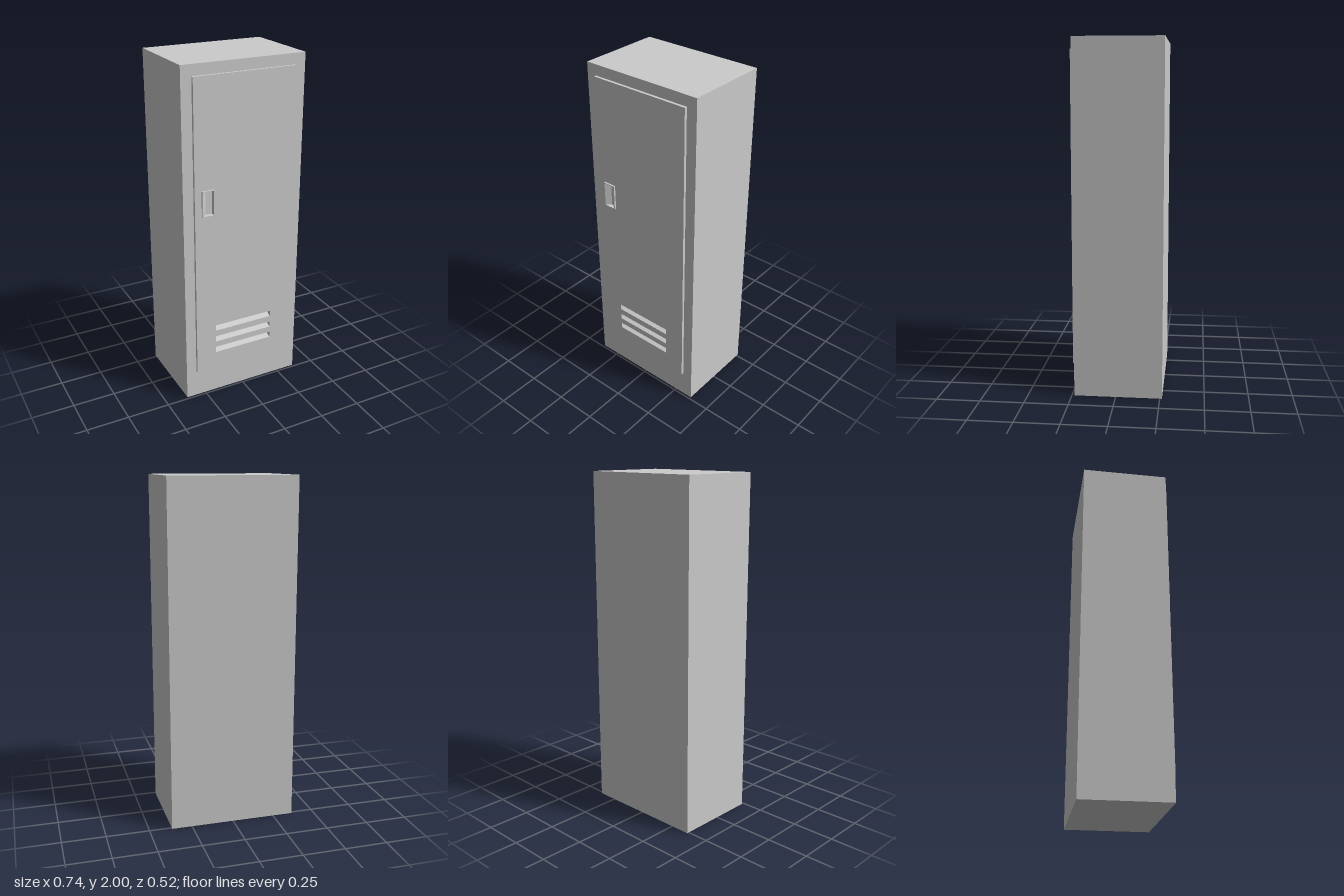
import * as THREE from 'three';

const material = new THREE.MeshStandardMaterial({ color: 0xcccccc, flatShading: true });

// Rectangle [x0, y0, x1, y1] as corner points
const corners = ([x0, y0, x1, y1]) => [[x0, y0], [x1, y0], [x1, y1], [x0, y1]].map(p => new THREE.Vector2(...p));

// Flat panel between two depths, with rectangular holes
function panel(rect, holes, z0, z1) {
  const shape = new THREE.Shape(corners(rect));
  for (const h of holes) shape.holes.push(new THREE.Path(corners(h).reverse()));
  return new THREE.ExtrudeGeometry(shape, { depth: z1 - z0, bevelEnabled: false }).translate(0, 0, z0);
}

// Triangular prism of the given length
function wedge(points, length) {
  const shape = new THREE.Shape(points.map(p => new THREE.Vector2(...p)));
  return new THREE.ExtrudeGeometry(shape, { depth: length, bevelEnabled: false });
}

export function createModel() {
  const locker = new THREE.Group();
  locker.name = 'locker';
  const add = (name, geometry) => {
    const mesh = new THREE.Mesh(geometry, material);
    mesh.name = name;
    locker.add(mesh);
  };

  const back = -0.263, inner = 0.21, face = 0.236, doorFace = 0.252, handleFace = 0.262;
  const slots = [0.275, 0.348, 0.423].map(y => [-0.184, y, 0.182, y + 0.036]);
  const grip = [-0.262, 1.168, -0.197, 1.311];

  // Cabinet: solid body and a front sheet pierced by the vents
  add('cabinetBody', new THREE.BoxGeometry(0.738, 2, inner - back).translate(0, 1, (inner + back) / 2));
  add('cabinetFront', panel([-0.369, 0, 0.369, 2], slots, inner, face));

  // Raised door with vents and a handle pocket
  add('door', panel([-0.307, 0.168, 0.307, 1.938], [...slots, grip], face, doorFace));

  // Sloping sill in each vent
  slots.forEach(([x0, y0, x1], i) => {
    const sill = wedge([[-doorFace, y0], [-inner, y0], [-inner, y0 + 0.018]], x1 - x0);
    add('ventSill' + (i + 1), sill.rotateY(Math.PI / 2).translate(x0, 0, 0));
  });

  // Handle: thin rim around a recess with a sloping left side
  add('handleRim', panel([-0.266, 1.164, -0.189, 1.315], [grip], doorFace, handleFace));
  const slope = wedge([[grip[0], -handleFace], [-0.235, -face], [grip[0], -face]], grip[3] - grip[1]);
  add('handleSlope', slope.rotateX(-Math.PI / 2).translate(0, grip[1], 0));

  return locker;
}
